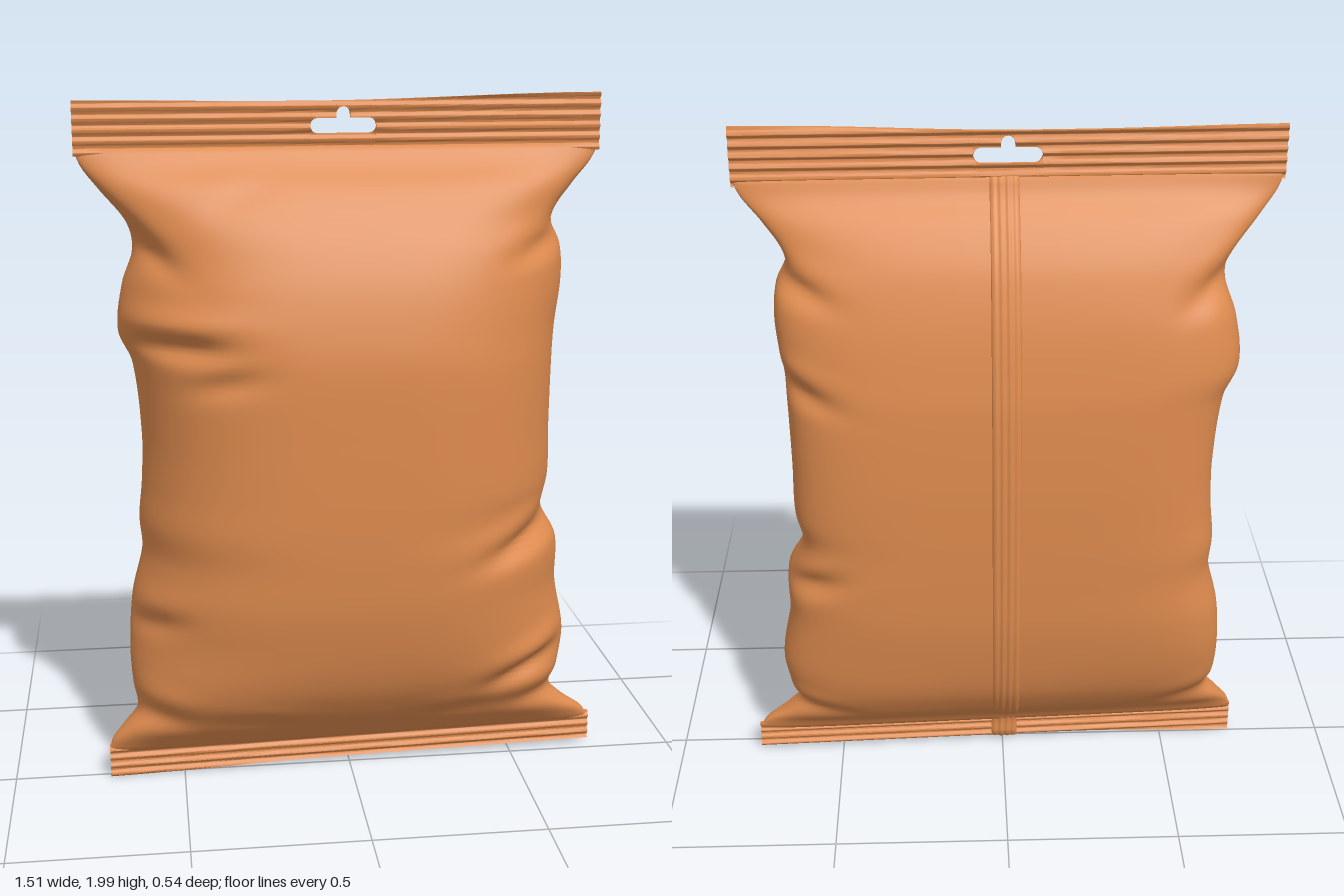
import * as THREE from 'three';
import { toCreasedNormals } from 'three/addons/utils/BufferGeometryUtils.js';

const material = new THREE.MeshStandardMaterial({ color: 0xdd8a4e, roughness: 0.6, side: THREE.DoubleSide });
const { lerp, smoothstep, clamp } = THREE.MathUtils;

// Pouch outline: height, left edge, right edge, front depth, back depth
const OUTLINE = [
  [0.09, -0.72, 0.755, 0.0, -0.03],
  [0.13, -0.71, 0.73, 0.04, -0.055],
  [0.17, -0.675, 0.67, 0.085, -0.1],
  [0.22, -0.635, 0.625, 0.125, -0.14],
  [0.3, -0.645, 0.645, 0.178, -0.187],
  [0.4, -0.65, 0.66, 0.215, -0.217],
  [0.56, -0.638, 0.632, 0.25, -0.245],
  [0.7, -0.605, 0.628, 0.263, -0.254],
  [0.8, -0.61, 0.58, 0.268, -0.258],
  [0.9, -0.6, 0.598, 0.27, -0.26],
  [1.05, -0.595, 0.597, 0.27, -0.26],
  [1.26, -0.615, 0.6, 0.266, -0.25],
  [1.35, -0.652, 0.605, 0.255, -0.238],
  [1.48, -0.637, 0.62, 0.222, -0.213],
  [1.58, -0.605, 0.612, 0.182, -0.183],
  [1.66, -0.62, 0.582, 0.14, -0.15],
  [1.75, -0.69, 0.64, 0.082, -0.095],
  [1.81, -0.735, 0.69, 0.028, -0.045],
  [1.86, -0.755, 0.715, -0.008, -0.022],
];

// Wrinkles: x, height, face (+1 front, -1 back, 0 both), length, width, slope, depth
const WRINKLES = [
  [-0.55, 1.33, 1, 0.18, 0.035, 0, 0.2],
  [-0.36, 1.24, 1, 0.1, 0.035, 0.2, 0.06],
  [0.58, 1.6, 0, 0.1, 0.035, 0.3, 0.22],
  [-0.6, 1.6, 0, 0.09, 0.04, -0.5, 0.2],
  [0.56, 0.76, 1, 0.15, 0.035, 0.3, 0.24],
  [0.54, 0.34, 1, 0.14, 0.035, 0.35, 0.2],
  [0.58, 0.7, -1, 0.1, 0.035, -0.2, 0.16],
  [0.6, 1.32, -1, 0.12, 0.035, 0.3, 0.16],
  [0.6, 0.22, 0, 0.14, 0.03, 0.2, 0.12],
  [-0.62, 0.5, 1, 0.1, 0.035, 0.2, 0.15],
  [-0.58, 0.22, 0, 0.14, 0.04, -0.3, 0.1],
  [0.3, 0.19, 1, 0.12, 0.03, 0.2, 0.1],
  [-0.25, 0.18, 1, 0.15, 0.03, -0.1, 0.08],
  [-0.3, 1.74, 1, 0.1, 0.03, 0.3, 0.06],
];

// Smooth interpolation of one outline column at height y
function outline(col, y) {
  const P = OUTLINE, last = P.length - 1;
  let i = 0;
  while (i < last - 1 && y > P[i + 1][0]) i++;
  const slope = (k) => {
    const a = P[Math.max(k - 1, 0)], b = P[Math.min(k + 1, last)];
    return (b[col] - a[col]) / (b[0] - a[0]);
  };
  const h = P[i + 1][0] - P[i][0], t = clamp((y - P[i][0]) / h, 0, 1);
  const t2 = t * t, t3 = t2 * t;
  return (2 * t3 - 3 * t2 + 1) * P[i][col] + (t3 - 2 * t2 + t) * h * slope(i)
    + (3 * t2 - 2 * t3) * P[i + 1][col] + (t3 - t2) * h * slope(i + 1);
}

// Skin over closed rings, with both ends capped
function loft(rings) {
  const n = rings[0].length, pos = rings.flat(2), idx = [];
  for (let r = 0; r < rings.length - 1; r++) {
    for (let i = 0; i < n; i++) {
      const a = r * n + i, b = r * n + (i + 1) % n;
      idx.push(a, b, a + n, b, b + n, a + n);
    }
  }
  const end = (rings.length - 1) * n;
  for (let i = 0; i < n / 2 - 1; i++) {
    const j = n - 1 - i;
    idx.push(i, j, i + 1, i + 1, j, j - 1);
    idx.push(end + i, end + i + 1, end + j, end + i + 1, end + j - 1, end + j);
  }
  const g = new THREE.BufferGeometry();
  g.setAttribute('position', new THREE.Float32BufferAttribute(pos, 3));
  g.setIndex(idx);
  g.computeVertexNormals();
  return g;
}

// Slight twist of the flat seals
const bottomZ = (x) => -0.015 - 0.042 * x;
const topZ = (x) => -0.015 - 0.017 * x;

// Inflated body: boxy at the back, with sloping shoulders at the front
function pouch() {
  const rings = [], ROWS = 120, N = 180;
  for (let r = 0; r <= ROWS; r++) {
    const y = 0.09 + 1.77 * r / ROWS;
    const [L, R, F, B] = [1, 2, 3, 4].map((c) => outline(c, y));
    const bulge = smoothstep(Math.min(y - 0.09, 1.86 - y), 0, 0.4);
    const twist = (1 - bulge) * (y < 1 ? 0.042 : 0.017);
    const mid = -0.015 - 0.03 * bulge;
    const ring = [];
    for (let i = 0; i < N; i++) {
      const t = -2 * Math.PI * (i + 0.5) / N, c = Math.cos(t), s = Math.sin(t);
      const p = s > 0 ? lerp(5, 3.5, bulge) : 5.2;
      const q = s > 0 ? lerp(2.2, 1.5, bulge) : 3;
      const u = Math.sign(c) * Math.abs(c) ** (2 / p), v = Math.abs(s) ** (2 / q);
      let x = (L + R) / 2 + u * (R - L) / 2, dent = 0;
      for (const [wx, wy, face, len, wid, slope, depth] of WRINKLES) {
        if (face * s < 0) continue;
        const dx = (x - wx) / len, dy = (y - wy - slope * (x - wx)) / wid;
        const fade = face ? Math.min(1, Math.abs(s) * 4) : 1;
        // a valley with a softer fold above it
        dent += fade * depth * Math.exp(-dx * dx) * (Math.exp(-dy * dy) - 0.35 * Math.exp(-((dy - 2) ** 2)));
      }
      const z = mid + ((s > 0 ? F : B) - mid) * v * (1 - dent) - twist * x;
      x *= 1 - dent * 0.18 * v;
      ring.push([x, y, z]);
    }
    rings.push(ring);
  }
  return loft(rings);
}

// Ribbed seal strip; xs are column positions, lo and hi its lower and upper edges
function sealStrip(xs, lo, hi, zMid, ribs, y0, y1) {
  const ROWS = 30, half = 0.006;
  const rings = xs.map((x) => {
    const front = [], back = [];
    for (let i = 0; i <= ROWS; i++) {
      const y = lerp(lo(x), hi(x), i / ROWS);
      const z = zMid(x) + 0.0045 * Math.sin(2 * Math.PI * ribs * (y - y0) / (y1 - y0));
      front.push([x, y, z + half]);
      back.push([x, y, z - half]);
    }
    return [...back, ...front.reverse()];
  });
  return toCreasedNormals(loft(rings), 0.9);
}

const range = (a, b, n) => Array.from({ length: n + 1 }, (_, i) => a + (b - a) * i / n);

// Hanger slot: rounded bar with a tab above it
const SLOT = { x0: -0.107, x1: 0.077, y: 1.915, r: 0.021, tab: -0.015, tabR: 0.019, tabY: 1.948 };
function slotHalf(x) {
  const d = Math.max(SLOT.x0 + SLOT.r - x, x - SLOT.x1 + SLOT.r, 0);
  return d < SLOT.r ? Math.sqrt(SLOT.r ** 2 - d * d) : 0;
}
function slotTop(x) {
  const d = Math.abs(x - SLOT.tab);
  return d < SLOT.tabR ? SLOT.tabY + Math.sqrt(SLOT.tabR ** 2 - d * d) : SLOT.y + slotHalf(x);
}

// Raised, ribbed lap seam down the back
function backSeam() {
  const rings = range(0.025, 1.86, 90).map((y) => {
    const base = lerp(-0.024, outline(4, Math.max(y, 0.09)), smoothstep(y, 0.08, 0.14));
    const outer = [], inner = [];
    for (let i = 0; i <= 24; i++) {
      const x = -0.045 + 0.08 * i / 24, edge = Math.sin(Math.PI * i / 24) ** 0.4;
      const rib = 0.002 * Math.cos(8 * Math.PI * i / 24);
      outer.push([x, y, base - (0.007 - rib) * edge]);
      inner.push([x, y, base + 0.008]);
    }
    return [...inner, ...outer.reverse()];
  });
  return loft(rings);
}

export function createModel() {
  const group = new THREE.Group();
  const add = (name, geometry) => {
    const mesh = new THREE.Mesh(geometry, material);
    mesh.name = name;
    group.add(mesh);
  };

  add('pouch', pouch());
  add('backSeam', backSeam());

  // Bottom seal
  const bottomEdge = (x) => 0.02 - 0.014 * smoothstep(-x, 0.1, 0.72);
  add('bottomSeal', sealStrip(range(-0.72, 0.755, 24), bottomEdge, () => 0.108, bottomZ, 4, 0.01, 0.112));

  // Top seal, in two halves that meet along the slot
  const e = 0.0003, { x0, x1, tab, tabR } = SLOT;
  const xs = [
    ...range(-0.755, x0, 10), ...range(x0 + e, x0 + SLOT.r, 8), tab - tabR - e,
    ...range(tab - tabR + e, tab + tabR - e, 14), tab + tabR + e,
    ...range(x1 - SLOT.r, x1 - e, 8), ...range(x1, 0.715, 10),
  ];
  const topEdge = (x) => 1.982 + 0.018 * smoothstep(x, -0.1, 0.7) + 0.006 * smoothstep(-x, 0.2, 0.75);
  add('topSealLower', sealStrip(xs, () => 1.84, (x) => SLOT.y - slotHalf(x), topZ, 5, 1.84, 1.99));
  add('topSealUpper', sealStrip(xs, slotTop, topEdge, topZ, 5, 1.84, 1.99));

  return group;
}
